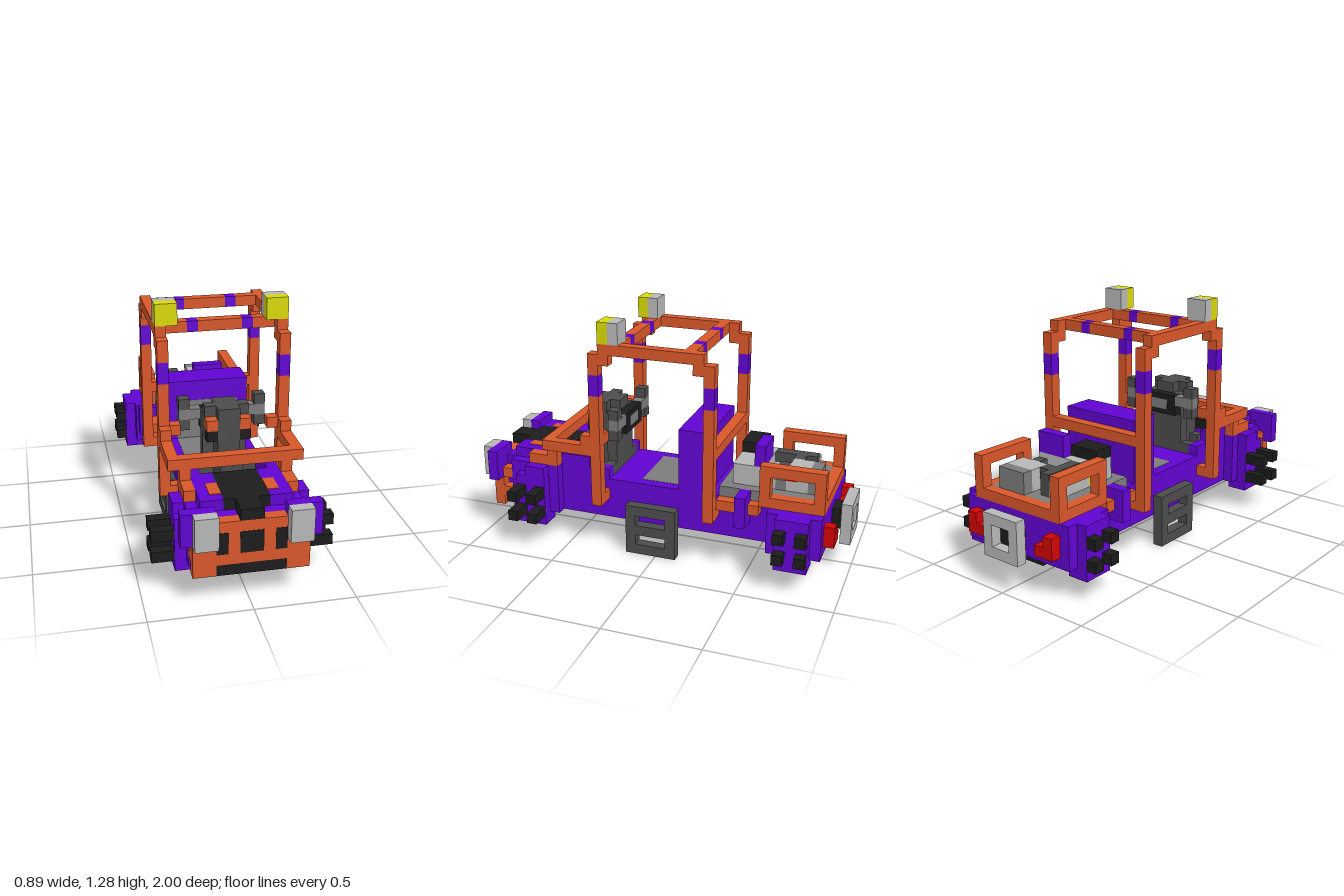
import * as THREE from 'three';

const U = 1 / 18; // one block
const paint = (name, color) => {
  const m = new THREE.MeshStandardMaterial({ color });
  m.name = name;
  return m;
};

export function createModel() {
  const model = new THREE.Group();
  model.name = 'buggy';
  const orange = paint('orange', 0xd9572a), purple = paint('purple', 0x6204d2);
  const black = paint('black', 0x1c1c1c), dark = paint('dark grey', 0x4c4c4c);
  const grey = paint('mid grey', 0x7c7c7c), light = paint('light grey', 0xb8b8b8);
  const yellow = paint('yellow', 0xd9d904), red = paint('red', 0xd20404);

  // Box given by its limits in blocks
  const box = (name, mat, x0, x1, y0, y1, z0, z1) => {
    const g = new THREE.BoxGeometry((x1 - x0) * U, (y1 - y0) * U, (z1 - z0) * U);
    g.translate((x0 + x1) / 2 * U, (y0 + y1) / 2 * U, (z0 + z1) / 2 * U);
    const mesh = new THREE.Mesh(g, mat);
    mesh.name = name;
    model.add(mesh);
  };
  // Same box on the left and right sides
  const pair = (name, mat, x0, x1, ...r) => {
    box(name + 'Left', mat, x0, x1, ...r);
    box(name + 'Right', mat, -x1, -x0, ...r);
  };
  // Rectangular side frame one block thick, on both sides
  const sideFrame = (name, mat, x0, x1, y0, y1, z0, z1) => {
    pair(name + 'Bottom', mat, x0, x1, y0, y0 + 1, z0, z1);
    pair(name + 'Top', mat, x0, x1, y1 - 1, y1, z0, z1);
    pair(name + 'Back', mat, x0, x1, y0 + 1, y1 - 1, z0, z0 + 1);
    pair(name + 'Front', mat, x0, x1, y0 + 1, y1 - 1, z1 - 1, z1);
  };

  // Chassis and front body
  box('chassis', purple, -4, 4, 4, 7, -16, 5);
  box('frontFloor', purple, -4, 4, 4, 5, 5, 10);
  box('footwell', black, -3, 3, 5, 6, 5, 10);
  pair('cowlSide', purple, 3, 4, 5, 8, 5, 10);
  pair('cowlTop', purple, 3, 4, 8, 9, 7, 10);
  box('frontBody', purple, -4, 4, 4, 8, 10, 16);
  pair('bonnetSide', purple, 2, 4, 8, 9, 10, 15);
  pair('bonnetInset', orange, 2, 3, 8, 9.05, 12, 14);
  box('bonnet', black, -2, 2, 8, 9, 10, 15);
  box('bonnetNose', black, -1, 1, 8, 9, 15, 17);

  // Ladder frame with recessed black panels underneath
  pair('ladderRail', purple, 3, 4, 3, 4, -16, 16);
  for (const [a, b] of [[-16, -9], [-6, -5], [-1, 0], [4, 5], [9, 11], [12, 16]])
    box('ladderRung', purple, -3, 3, 3, 4, a, b);
  box('underPanel', black, -3, 3, 3.9, 4, -9, 12);
  box('rearUnderPlate', black, -2, 2, 2, 3, -15, -11);

  // Grille and headlamps
  box('bumper', orange, -5, 5, 4, 6, 16, 17);
  pair('bumperCorner', orange, 3, 5, 3, 4, 16, 17);
  box('bumperSlot', black, -3, 3, 3, 4, 16, 17);
  box('grille', orange, -3, 3, 6, 8, 16, 17);
  box('grilleCentre', black, -1, 1, 5, 7, 17, 17.03);
  pair('grilleSlot', black, 2, 3, 5, 7, 17, 17.03);
  pair('grilleBracketLow', orange, 4, 5, 4, 5, 15, 16);
  pair('grilleBracketHigh', orange, 4, 5, 6, 7, 15, 16);
  pair('headlampMount', purple, 3, 6, 6, 9, 16, 17);
  pair('headlamp', light, 3, 5, 6, 9, 17, 18);

  // Wheel housings with studs
  pair('frontWheel', purple, 4, 6, 2, 7, 11, 14);
  pair('frontWheelArch', purple, 4, 5, 3, 8, 10, 15);
  pair('frontArchTop', purple, 4, 6, 7, 8, 11, 13);
  pair('frontArchTrim', orange, 4, 5, 8, 9, 11, 13);
  pair('rearWheelArch', purple, 4, 6, 3, 7, -16, -11);
  pair('rearWheel', purple, 5, 7, 2, 7, -15, -12);
  for (const y of [3, 5]) {
    for (const z of [11, 13]) pair('frontStud', black, 6, 8, y, y + 1, z, z + 1);
    for (const z of [-15, -13]) pair('rearStud', black, 7, 8, y, y + 1, z, z + 1);
  }

  // Roll cage
  for (const z of [-6, 5]) {
    pair('postLower', orange, 5, 6, 5, 16, z, z + 1);
    pair('postBand', purple, 5, 6, 16, 18, z, z + 1);
    pair('postUpper', orange, 5, 6, 18, 20, z, z + 1);
    pair('postFoot', orange, 4, 5, 5, 6, z, z + 1);
  }
  pair('roofRail', orange, 5, 6, 20, 21, -5, 5);
  for (const z of [-5, 4]) pair('roofCorner', orange, 5, 6, 19, 20, z, z + 1);
  for (const z of [-4, 3]) {
    box('roofBarMiddle', orange, -2, 2, 20, 21, z, z + 1);
    pair('roofBarBand', purple, 2, 3, 20, 21, z, z + 1);
    pair('roofBarEnd', orange, 3, 5, 20, 21, z, z + 1);
  }
  box('rearCrossBar', orange, -5, 5, 11, 12, -6, -5);
  pair('roofLampCase', light, 4, 6, 21, 23, 3, 4);
  pair('roofLampGlass', yellow, 4, 6, 21, 23, 4, 5);

  // Front guard rail
  box('guardBar', orange, -6, 6, 10, 11, 10, 11);
  pair('guardRail', orange, 5, 6, 10, 11, 6, 10);
  pair('guardLeg', orange, 4, 5, 8, 10, 10, 11);
  pair('guardStep', orange, 5, 6, 11, 12, 6, 7);
  pair('guardBracket', orange, 4, 5, 11, 12, 5, 6);

  // Side steps
  sideFrame('step', dark, 4, 5, 0, 5, -2, 3);
  pair('stepMiddle', dark, 4, 5, 2, 3, -1, 2);

  // Seat
  box('seatBack', purple, -4, 4, 7, 13, -5, -2);
  box('seatBackPad', grey, -3, 3, 7, 11, -2, -1.97);
  box('seatCushion', grey, -3, 3, 7, 7.03, -2, 2);

  // Dashboard and handlebar
  box('columnFoot', dark, -1, 1, 6, 7, 9, 10);
  box('columnBase', dark, -1, 1, 6, 10, 6, 9);
  box('columnBaseCollar', dark, -2, 2, 6, 8, 8, 9);
  box('columnSkirt', dark, -3, 3, 6, 8, 5, 6);
  box('column', dark, -1, 1, 10, 14, 5, 8);
  box('columnHead', dark, -2, 2, 13, 14, 6, 7);
  box('columnCheeks', dark, -2, 2, 11, 13, 6, 7);
  pair('columnTrim', orange, 1, 2, 12, 13, 7, 8);
  pair('columnTrimLow', black, 1, 2, 11, 12, 7, 8);
  box('dashPanel', black, -2, 2, 11, 13, 4, 5);
  box('dashBack', dark, -2, 2, 8, 13, 5, 6);
  box('dashDial', grey, -1, 1, 11.5, 12.5, 3.97, 4);
  pair('handlebar', grey, 2, 4, 12, 13, 4, 5);
  pair('gripTop', dark, 3, 4, 13, 14, 4, 5);
  pair('gripBottom', dark, 3, 4, 11, 12, 4, 5);

  // Rear bed
  box('bedFloor', grey, -4, 4, 7, 8, -15, -6);
  box('bedBackBar', orange, -5, 5, 7, 8, -16, -15);
  sideFrame('bedFrame', orange, 4, 5, 7, 11, -16, -10);
  pair('bedRail', orange, 4, 5, 6, 7, -10, -6);
  pair('bedBracket', purple, 4, 6, 5, 8, -9, -8);

  // Engine in the bed
  box('engineBlock', light, 0, 3, 8, 10, -9, -7);
  box('airBoxBase', light, -3, 0, 8, 10, -9, -7);
  box('airBoxLid', black, -3, 0, 10, 11, -9, -7);
  box('intake', purple, 0, 3, 10, 12, -10, -9);
  box('intakeStem', light, -2, 3, 8, 10, -10, -9);
  box('fuelCap', yellow, -3, -2, 8, 9, -10, -9);
  box('engineRear', light, 0, 3, 8, 10, -14, -12);
  box('engineEnd', grey, 0, 3, 8, 10, -15, -14);
  box('engineMiddle', light, -1, 3, 8, 9, -11, -10);
  box('engineWaist', grey, 0, 3, 8, 9, -12, -11);
  box('engineSide', light, -3, -2, 8, 9.5, -14, -10);
  box('pipe', dark, -2, -1, 8, 10, -14, -10);
  box('pipeElbow', dark, -1, 0, 8, 10, -13, -12);
  box('pipeEnd', dark, 1, 2, 9, 10, -12, -11);
  box('valve', red, 3, 3.03, 9, 10, -13, -12);

  // Tail lamps and spare wheel
  pair('tailLampLow', red, 3, 5, 4, 5, -17, -16);
  pair('tailLampHigh', red, 4, 5, 5, 6, -17, -16);
  box('spareMount', black, -1, 1, 4, 6, -17, -16);
  for (const y of [3, 6]) box('spareRim', light, -2, 2, y, y + 1, -18, -17);
  pair('spareRimSide', light, 1, 2, 4, 6, -18, -17);

  return model;
}
